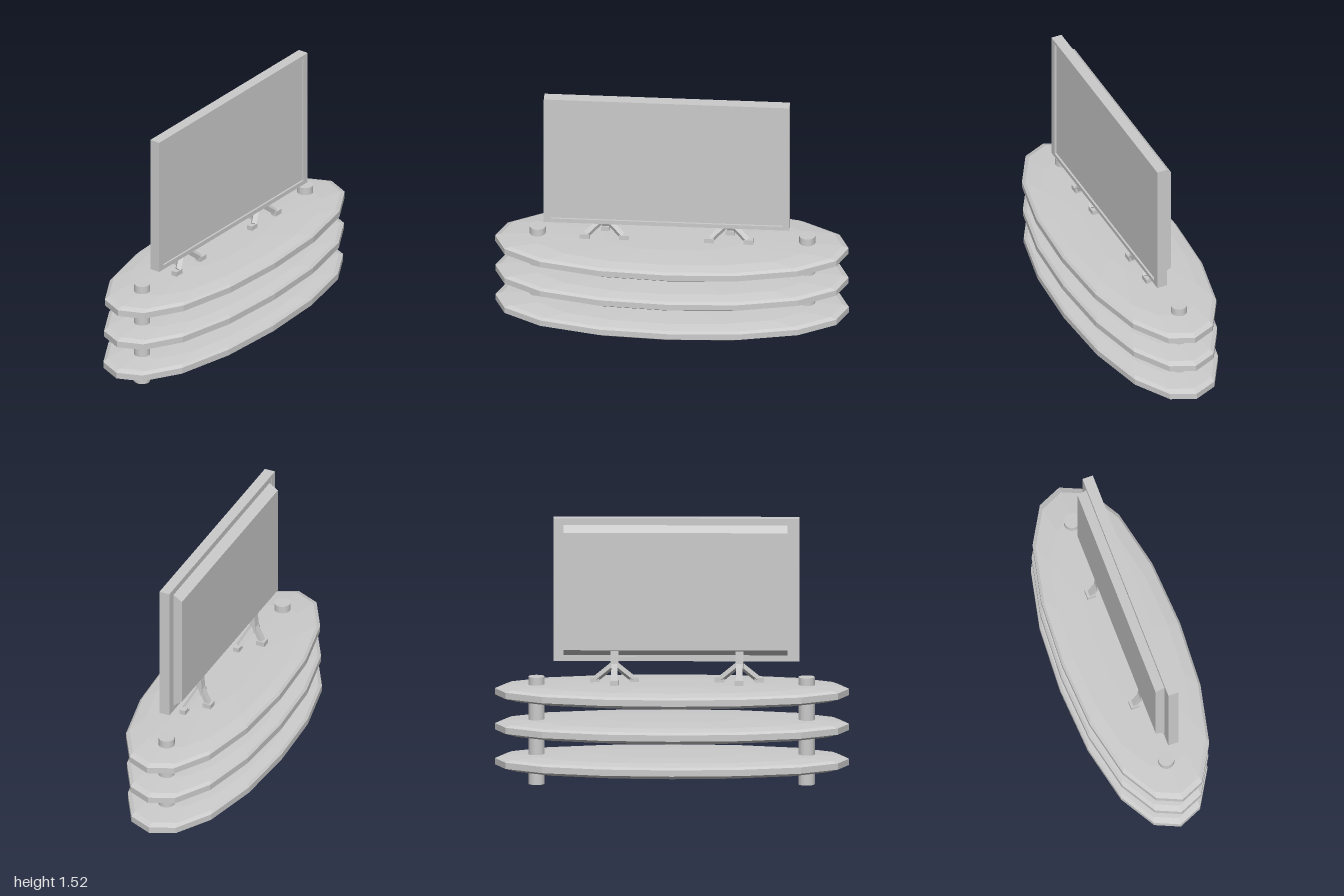
import * as THREE from 'three';

const material = new THREE.MeshStandardMaterial({ color: 0xcccccc, flatShading: true });

function add(parent, name, geometry, x = 0, y = 0, z = 0) {
  const mesh = new THREE.Mesh(geometry, material);
  mesh.name = name;
  mesh.position.set(x, y, z);
  parent.add(mesh);
  return mesh;
}

// Square bar running from point a to point b
function addBar(parent, name, a, b, width, depth) {
  const from = new THREE.Vector3(...a), to = new THREE.Vector3(...b);
  const mesh = add(parent, name, new THREE.BoxGeometry(width, from.distanceTo(to), depth));
  mesh.position.copy(from).add(to).multiplyScalar(0.5);
  mesh.quaternion.setFromUnitVectors(new THREE.Vector3(0, 1, 0), to.sub(from).normalize());
  return mesh;
}

// Sixteen-sided oval shelf with softly rounded rim
function shelfGeometry() {
  const profile = [
    [0, -0.053], [0.75, -0.05], [0.93, -0.036], [1, -0.018],
    [1, 0.018], [0.965, 0.031], [0.8, 0.043], [0.4, 0.05], [0, 0.05],
  ].map(([r, y]) => new THREE.Vector2(r, y));
  const geometry = new THREE.LatheGeometry(profile, 16);
  const p = geometry.attributes.position;
  for (let i = 0; i < p.count; i++) {
    const x = p.getX(i), z = p.getZ(i);
    const bulge = 1 + 0.033 * Math.sin(2 * Math.atan2(x, z)) ** 2;
    p.setXYZ(i, x * bulge * 0.356, p.getY(i), z * bulge);
  }
  geometry.computeVertexNormals();
  return geometry;
}

// Outline in (-z, y), so that after a quarter turn the extrusion runs along +x
function rectangle(path, z0, z1, y0, y1) {
  path.moveTo(-z1, y0);
  path.lineTo(-z0, y0);
  path.lineTo(-z0, y1);
  path.lineTo(-z1, y1);
  path.closePath();
  return path;
}

function createTelevision() {
  const tv = new THREE.Group();
  tv.name = 'television';

  // Bezel around a slightly sunken screen
  const outline = rectangle(new THREE.Shape(), -0.67, 0.72, 0.7, 1.52);
  outline.holes.push(rectangle(new THREE.Path(), -0.63, 0.68, 0.725, 1.5));
  const bezel = new THREE.ExtrudeGeometry(outline, { depth: 0.062, bevelEnabled: false });
  bezel.rotateY(Math.PI / 2);
  add(tv, 'bezel', bezel, 0.023);
  add(tv, 'screen', new THREE.BoxGeometry(0.05, 0.777, 1.312), 0.049, 1.1125, 0.025);

  // Rear housing, sloped along its top and bottom
  const side = new THREE.Shape([
    [0.024, 0.735], [0.024, 1.482], [-0.028, 1.447], [-0.028, 0.772],
  ].map(([x, y]) => new THREE.Vector2(x, y)));
  const housing = new THREE.ExtrudeGeometry(side, { depth: 1.265, bevelEnabled: false });
  add(tv, 'rearHousing', housing, 0, 0, -0.613);
  return tv;
}

// Three-legged foot: one leg behind, two splayed forward
function createStand(z) {
  const stand = new THREE.Group();
  stand.name = 'stand';
  stand.position.z = z;
  addBar(stand, 'neck', [-0.012, 0.67, 0], [-0.002, 0.78, 0], 0.034, 0.045);
  addBar(stand, 'rearLeg', [-0.01, 0.7, 0], [-0.06, 0.595, 0], 0.025, 0.035);
  add(stand, 'rearFoot', new THREE.BoxGeometry(0.05, 0.03, 0.05), -0.058, 0.592, 0);
  for (const s of [-1, 1]) {
    addBar(stand, 'frontLeg', [-0.005, 0.69, 0], [0.038, 0.6, s * 0.1], 0.028, 0.028);
    add(stand, 'frontFoot', new THREE.BoxGeometry(0.034, 0.028, 0.055), 0.039, 0.592, s * 0.112);
  }
  return stand;
}

export function createModel() {
  const model = new THREE.Group();
  model.name = 'televisionOnShelves';

  // Shelves, each shifted slightly from the one below
  const shelf = shelfGeometry();
  for (let i = 0; i < 3; i++) {
    add(model, 'shelf', shelf, -0.006 + i * 0.0055, 0.129 + i * 0.2, 0);
  }

  // Posts through all the shelves
  for (const z of [-0.765, 0.76]) {
    add(model, 'post', new THREE.CylinderGeometry(0.046, 0.046, 0.617, 24), -0.005, 0.3085, z);
  }

  model.add(createTelevision());
  for (const z of [-0.325, 0.38]) model.add(createStand(z));
  return model;
}
